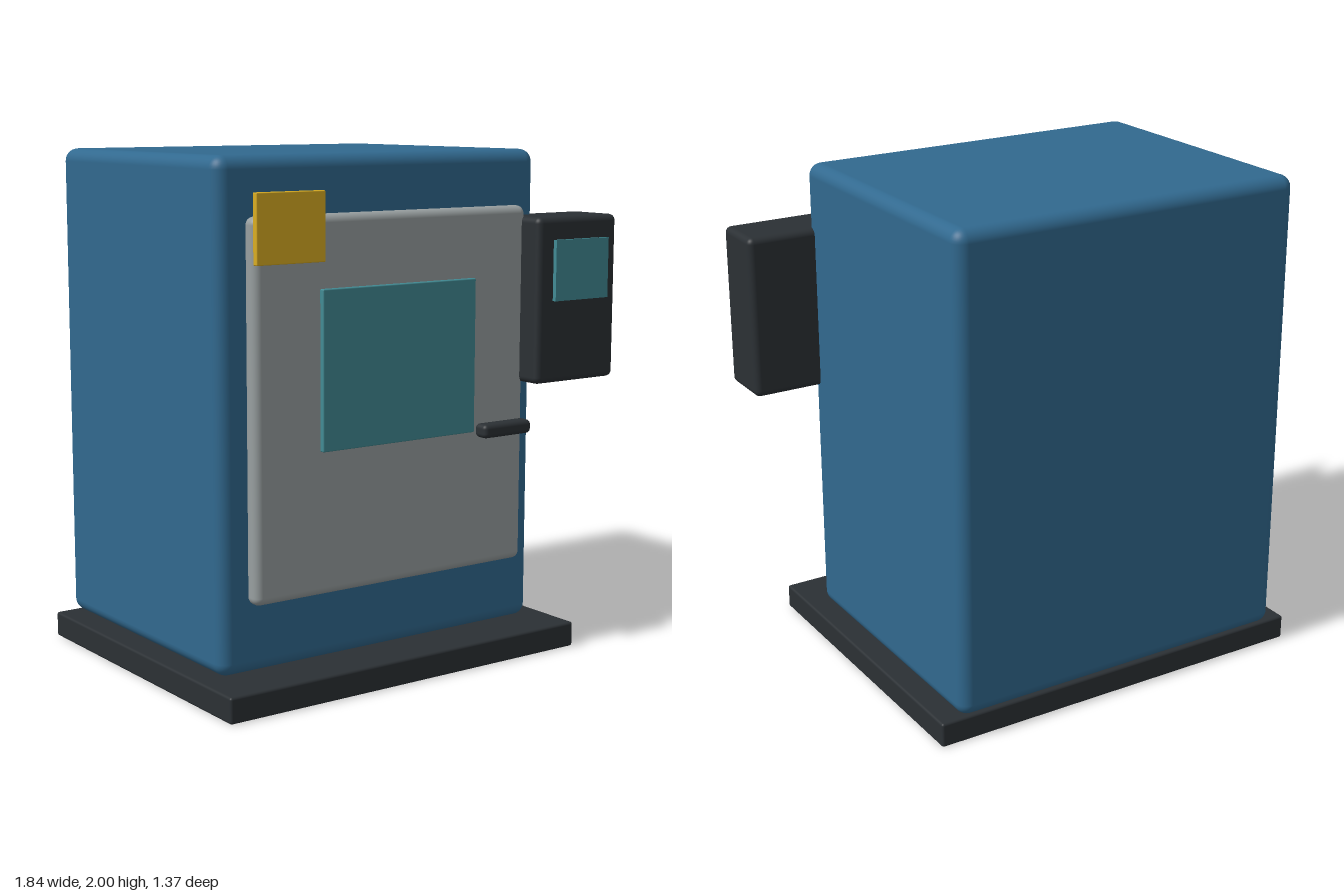
import * as THREE from 'three';
import { RoundedBoxGeometry } from 'three/addons/geometries/RoundedBoxGeometry.js';

const paint = (color) => new THREE.MeshStandardMaterial({ color });

export function createModel() {
  const group = new THREE.Group();
  const blue = paint(0x31698f);
  const grey = paint(0x989fa0);
  const dark = paint(0x2b3034);
  const teal = paint(0x428b94);
  const yellow = paint(0xdaad22);

  // Adds a box given its [min, max] range on each axis; radius 0 keeps sharp edges
  function block(name, [x0, x1], [y0, y1], [z0, z1], radius, material) {
    const size = [x1 - x0, y1 - y0, z1 - z0];
    const geometry = radius > 0
      ? new RoundedBoxGeometry(...size, 4, radius)
      : new THREE.BoxGeometry(...size);
    const mesh = new THREE.Mesh(geometry, material);
    mesh.name = name;
    mesh.position.set((x0 + x1) / 2, (y0 + y1) / 2, (z0 + z1) / 2);
    group.add(mesh);
  }

  // Cabinet on its plinth
  block('plinth', [-0.925, 0.715], [0, 0.1], [-0.675, 0.672], 0.01, dark);
  block('cabinet', [-0.847, 0.638], [0.1, 2], [-0.687, 0.484], 0.05, blue);

  // Front door with its window and handle
  block('door', [-0.74, 0.528], [0.372, 1.785], [0.484, 0.558], 0.03, grey);
  block('doorWindow', [-0.463, 0.252], [0.92, 1.518], [0.565, 0.588], 0.005, teal);
  block('doorHandle', [0.245, 0.482], [0.903, 0.957], [0.595, 0.662], 0.018, dark);

  // Control unit with its screen
  block('controlUnit', [0.505, 0.919], [1.09, 1.743], [0.42, 0.658], 0.025, dark);
  block('controlScreen', [0.572, 0.848], [1.417, 1.655], [0.67, 0.687], 0, teal);

  // Blank warning plate
  block('warningPlate', [-0.75, -0.455], [1.617, 1.873], [0.567, 0.592], 0.004, yellow);

  return group;
}
